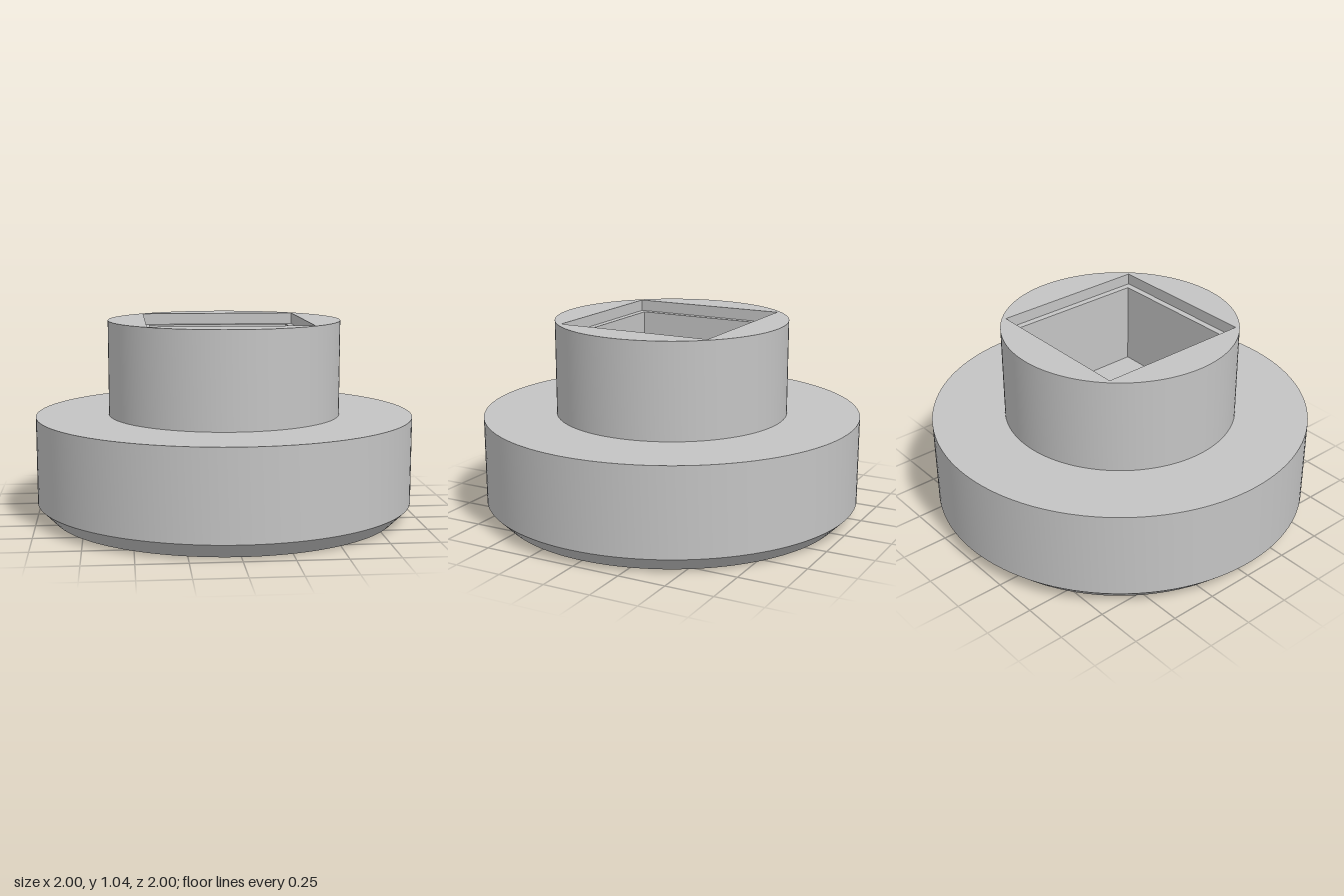
import * as THREE from 'three';
import { toCreasedNormals } from 'three/addons/utils/BufferGeometryUtils.js';

const SEGMENTS = 128;
const TOP = 1.04, STEM_R = 0.615, BASE_TOP = 0.54;
const RECESS = 0.42, LEDGE_Y = 0.98; // wide shallow step of the socket
const SOCKET = 0.385, FLOOR_Y = 0.54; // narrow deep part of the socket

export function createModel() {
  const grey = new THREE.MeshStandardMaterial({ color: 0xc4c4c4 });
  grey.name = 'light grey';
  const group = new THREE.Group();
  group.name = 'socketFoot';

  const add = (name, geometry, parent = group) => {
    const mesh = new THREE.Mesh(geometry, grey);
    mesh.name = name;
    parent.add(mesh);
    return mesh;
  };

  const square = (Type, h) => new Type([[-h, -h], [h, -h], [h, h], [-h, h]].map(([x, y]) => new THREE.Vector2(x, y)));

  // Flat face with a square opening, facing up at height y
  const flatFace = (name, shape, hole, y) => {
    if (hole) shape.holes.push(square(THREE.Path, hole));
    add(name, new THREE.ShapeGeometry(shape, SEGMENTS).rotateX(-Math.PI / 2).translate(0, y, 0));
  };

  // Four inward facing walls of a square pocket
  const pocketWalls = (name, h, bottom, top) => {
    const walls = new THREE.Group();
    walls.name = name;
    for (let i = 0; i < 4; i++) {
      const wall = new THREE.PlaneGeometry(2 * h, top - bottom);
      wall.translate(0, (top + bottom) / 2, -h).rotateY(i * Math.PI / 2);
      add('wall', wall, walls);
    }
    group.add(walls);
  };

  // Chamfered base and round stem, turned as one profile
  const profile = [[0, 0], [0.92, 0], [1, 0.08], [1, BASE_TOP], [STEM_R, BASE_TOP], [STEM_R, TOP]];
  const body = new THREE.LatheGeometry(profile.map(([x, y]) => new THREE.Vector2(x, y)), SEGMENTS);
  add('baseAndStem', toCreasedNormals(body, 0.5));

  // Top rim of the stem
  const disc = new THREE.Shape();
  disc.absarc(0, 0, STEM_R, 0, Math.PI * 2);
  flatFace('stemRim', disc, RECESS, TOP);

  // Stepped square socket
  pocketWalls('recessWalls', RECESS, LEDGE_Y, TOP);
  flatFace('recessLedge', square(THREE.Shape, RECESS), SOCKET, LEDGE_Y);
  pocketWalls('socketWalls', SOCKET, FLOOR_Y, LEDGE_Y);
  flatFace('socketFloor', square(THREE.Shape, SOCKET), 0, FLOOR_Y);

  return group;
}
